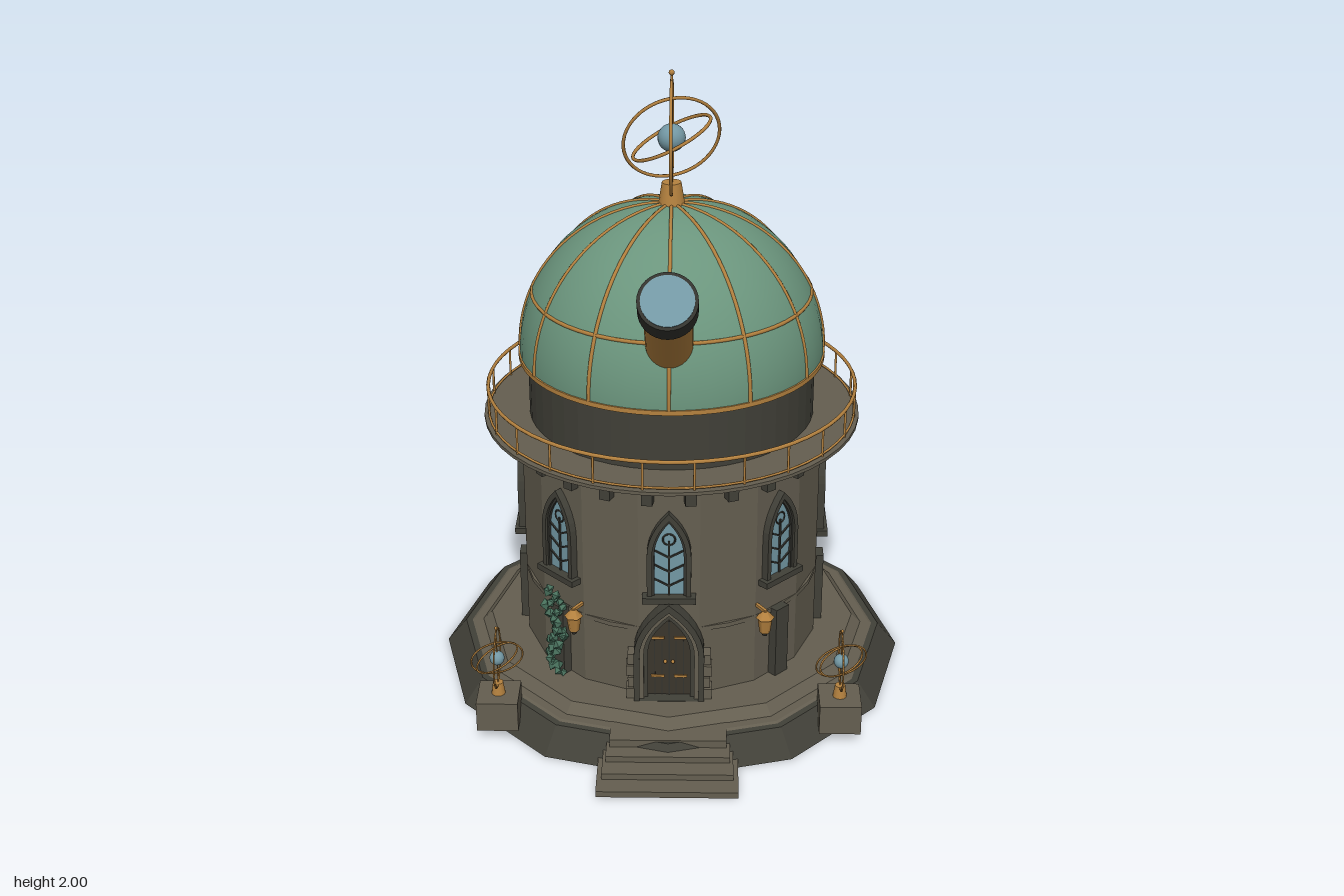
import * as THREE from 'three';

const mat = (name, color, opts = {}) => {
  const m = new THREE.MeshStandardMaterial({ color, ...opts });
  m.name = name;
  return m;
};

// Pointed arch outline standing on y = 0
function archPath(path, w, spring, peak, base = 0) {
  const c = spring + (peak - spring) * 0.55;
  path.moveTo(-w, base);
  path.lineTo(w, base);
  path.lineTo(w, spring);
  path.quadraticCurveTo(w, c, 0, peak);
  path.quadraticCurveTo(-w, c, -w, spring);
  path.lineTo(-w, base);
  return path;
}
const extrude = (shape, depth) =>
  new THREE.ExtrudeGeometry(shape, { depth, bevelEnabled: false, curveSegments: 6 });
const archSolid = (w, s, p, d) => extrude(archPath(new THREE.Shape(), w, s, p), d);
function archFrame(w, s, p, t, d, sill = 0) {
  const shape = archPath(new THREE.Shape(), w, s, p);
  shape.holes.push(archPath(new THREE.Path(), w - t, s, p - t * 1.5, Math.max(sill, 0.001)));
  return extrude(shape, d);
}

export function createModel() {
  const stone = mat('stone', 0x645e50, { flatShading: true });
  const dark = mat('dark stone', 0x414038, { flatShading: true });
  const iron = mat('dark iron', 0x33332e);
  const copper = mat('green copper', 0x6b957d);
  const brass = mat('brass', 0xb5823f);
  const glass = mat('blue glass', 0x7398a4);
  const wood = mat('door wood', 0x3a352c);
  const leaf = mat('ivy leaf', 0x48705c, { flatShading: true });

  const root = new THREE.Group();
  root.name = 'observatory';
  const tower = new THREE.Group();
  tower.name = 'tower';
  tower.position.z = -0.05;
  root.add(tower);

  const add = (parent, name, geo, m, x = 0, y = 0, z = 0) => {
    const mesh = new THREE.Mesh(geo, m);
    mesh.name = name;
    mesh.position.set(x, y, z);
    parent.add(mesh);
    return mesh;
  };
  const box = (p, name, w, h, d, m, x, y, z) => add(p, name, new THREE.BoxGeometry(w, h, d), m, x, y, z);
  const cyl = (p, name, rt, rb, y0, y1, seg, m, x = 0, z = 0) =>
    add(p, name, new THREE.CylinderGeometry(rt, rb, y1 - y0, seg), m, x, (y0 + y1) / 2, z);
  const ring = (p, name, r, t, y, m, seg = 64) => {
    const o = add(p, name, new THREE.TorusGeometry(r, t, 6, seg), m, 0, y, 0);
    o.rotation.x = Math.PI / 2;
    return o;
  };
  // Group facing outward from the tower axis
  const radial = (name, a, r, y = 0) => {
    const g = new THREE.Group();
    g.name = name;
    g.position.set(Math.sin(a) * r, y, Math.cos(a) * r);
    g.rotation.y = a;
    tower.add(g);
    return g;
  };

  // Stepped twelve-sided base
  cyl(tower, 'baseSlab', 0.7, 0.765, 0, 0.08, 12, dark);
  cyl(tower, 'basePaving', 0.67, 0.69, 0.075, 0.084, 12, stone);
  cyl(tower, 'baseStep', 0.61, 0.645, 0.08, 0.115, 12, stone);

  // Wall, string course and gallery
  cyl(tower, 'wall', 0.485, 0.485, 0.11, 0.88, 16, stone).rotation.y = Math.PI / 16;
  cyl(tower, 'stringCourse', 0.485, 0.485, 0.343, 0.358, 32, stone);
  cyl(tower, 'galleryCorbel', 0.6, 0.52, 0.855, 0.888, 48, dark);
  cyl(tower, 'galleryFloor', 0.6, 0.6, 0.886, 0.897, 48, stone);
  cyl(tower, 'drum', 0.455, 0.455, 0.895, 1.1, 48, dark);
  for (let i = 0; i < 24; i++) {
    const a = ((i + 0.5) * Math.PI) / 12;
    box(radial('corbelBlock', a, 0.485), 'block', 0.034, 0.042, 0.05, dark, 0, 0.822, 0);
    cyl(radial('railPost', a, 0.585), 'post', 0.004, 0.004, 0.895, 0.99, 6, brass);
  }
  ring(tower, 'topRail', 0.585, 0.006, 0.99, brass);
  ring(tower, 'bottomRail', 0.585, 0.004, 0.905, brass);

  // Windows with a pilaster under each
  for (let i = 0; i < 8; i++) {
    const a = (i * Math.PI) / 4;
    const w = radial('window', a, 0.476, 0.48);
    add(w, 'frame', archFrame(0.068, 0.14, 0.29, 0.016, 0.024), dark);
    add(w, 'innerFrame', archFrame(0.054, 0.14, 0.268, 0.009, 0.016), iron);
    add(w, 'pane', archSolid(0.05, 0.14, 0.262, 0.007), glass);
    box(w, 'sill', 0.165, 0.02, 0.04, dark, 0, -0.008, 0.016);
    box(w, 'mullion', 0.006, 0.19, 0.006, iron, 0, 0.095, 0.009);
    for (const s of [-1, 1]) {
      for (const y of [0.045, 0.095, 0.145]) {
        box(w, 'tracery', 0.052, 0.005, 0.006, iron, s * 0.023, y, 0.009).rotation.z = s * 0.5;
      }
    }
    add(w, 'rose', new THREE.TorusGeometry(0.019, 0.003, 4, 16), iron, 0, 0.195, 0.009);
    if (i > 0) {
      const p = radial('pilaster', a, 0.476);
      box(p, 'shaft', 0.056, 0.245, 0.05, dark, 0, 0.236, 0.005);
    }
  }

  // Doorway with receding arches
  const door = radial('doorway', 0, 0.47, 0.115);
  add(door, 'outerArch', archFrame(0.11, 0.16, 0.35, 0.018, 0.055), dark);
  add(door, 'middleArch', archFrame(0.093, 0.16, 0.325, 0.014, 0.042), stone);
  add(door, 'innerArch', archFrame(0.08, 0.16, 0.305, 0.014, 0.03), dark);
  add(door, 'doorLeaf', archSolid(0.068, 0.16, 0.286, 0.015), wood);
  box(door, 'doorGap', 0.005, 0.27, 0.006, iron, 0, 0.135, 0.015);
  for (const s of [-1, 1]) {
    for (const y of [0.07, 0.21]) box(door, 'hinge', 0.042, 0.008, 0.005, brass, s * 0.036, y, 0.017);
    add(door, 'handle', new THREE.SphereGeometry(0.006, 8, 6), brass, s * 0.012, 0.125, 0.02);
    for (const x of [0.022, 0.045]) box(door, 'plankLine', 0.003, 0.2, 0.004, iron, s * x, 0.1, 0.0145);
    for (let k = 0; k < 4; k++) {
      box(door, 'quoin', k % 2 ? 0.024 : 0.034, 0.036, 0.045, stone, s * 0.117, 0.02 + k * 0.042, 0.02);
    }
  }

  // Entrance steps
  [[0.43, 0.81, 0.02], [0.4, 0.75, 0.04], [0.38, 0.69, 0.06], [0.36, 0.64, 0.085]].forEach(([w, z, h]) =>
    box(root, 'step', w, h, z - 0.4, stone, 0, h / 2, (z + 0.4) / 2));

  // Dome with brass ribs
  add(tower, 'dome', new THREE.SphereGeometry(0.48, 48, 20, 0, Math.PI * 2, 0, Math.PI / 2), copper, 0, 1.105, 0);
  cyl(tower, 'domeRing', 0.485, 0.485, 1.092, 1.107, 64, brass);
  ring(tower, 'domeBand', 0.437, 0.006, 1.302, brass);
  for (let i = 0; i < 6; i++) {
    add(tower, 'domeRib', new THREE.TorusGeometry(0.48, 0.006, 6, 48, Math.PI), brass, 0, 1.105, 0)
      .rotation.y = (i * Math.PI) / 6;
  }
  cyl(tower, 'finialCup', 0.03, 0.042, 1.575, 1.65, 16, brass);

  // Armillary sphere: three rings, axis and globe
  const armillary = (parent, s, x, y, z) => {
    const g = new THREE.Group();
    g.name = 'armillary';
    g.position.set(x, y, z);
    g.scale.setScalar(s);
    parent.add(g);
    const t = 0.0055;
    const hoop = (r, rx, ry) => {
      const o = add(g, 'hoop', new THREE.TorusGeometry(r, t, 6, 48), brass);
      o.rotation.set(rx, ry, 0);
    };
    hoop(0.172, 0, Math.PI / 2);
    hoop(0.15, 0.4, 0.26);
    const tilted = new THREE.Group();
    tilted.name = 'tiltedHoop';
    tilted.rotation.z = 0.47;
    g.add(tilted);
    ring(tilted, 'hoop', 0.132, t, 0, brass, 48);
    cyl(g, 'axis', 0.004, 0.004, -0.19, 0.205, 6, brass);
    add(g, 'tip', new THREE.SphereGeometry(0.009, 8, 6), brass, 0, 0.201, 0);
    add(g, 'globe', new THREE.SphereGeometry(0.043, 20, 14), glass);
  };
  armillary(tower, 1, 0, 1.79, 0);

  // Telescope leaning out of the dome
  const scope = new THREE.Group();
  scope.name = 'telescope';
  scope.position.set(0, 1.54, 0.64);
  scope.rotation.x = Math.PI / 2 - 0.74;
  root.add(scope);
  cyl(scope, 'barrel', 0.071, 0.071, -0.48, -0.04, 32, brass);
  cyl(scope, 'cap', 0.086, 0.086, -0.075, 0, 32, iron);
  cyl(scope, 'lens', 0.076, 0.076, -0.004, 0.003, 32, glass);

  for (const s of [-1, 1]) {
    // Pedestals with small armillaries
    box(root, 'pedestal', 0.13, 0.1, 0.13, stone, s * 0.535, 0.09, 0.47);
    cyl(root, 'pedestalCup', 0.016, 0.022, 0.14, 0.18, 12, brass, s * 0.535, 0.47);
    armillary(root, 0.54, s * 0.535, 0.268, 0.47);

    // Wall lanterns
    const l = radial('lantern', s * 0.6, 0.53);
    box(l, 'bracket', 0.01, 0.01, 0.07, brass, 0, 0.395, -0.03);
    cyl(l, 'lanternCap', 0.008, 0.03, 0.372, 0.395, 6, brass);
    cyl(l, 'lanternBody', 0.024, 0.017, 0.32, 0.372, 6, brass);
    cyl(l, 'lanternFoot', 0.012, 0.008, 0.308, 0.32, 6, iron);
  }

  // Ivy climbing one pilaster
  const ivy = radial('ivy', -Math.PI / 4, 0.5);
  let seed = 7;
  const rnd = () => (seed = (seed * 16807) % 2147483647) / 2147483647;
  for (let i = 0; i < 44; i++) {
    const y = 0.125 + (i / 44) * 0.3;
    const o = add(ivy, 'leaf', new THREE.OctahedronGeometry(0.014 + rnd() * 0.007), leaf,
      (rnd() - 0.5) * 0.07, y, 0.005 + rnd() * 0.025);
    o.rotation.set(rnd() * 3, rnd() * 3, rnd() * 3);
  }
  return root;
}
